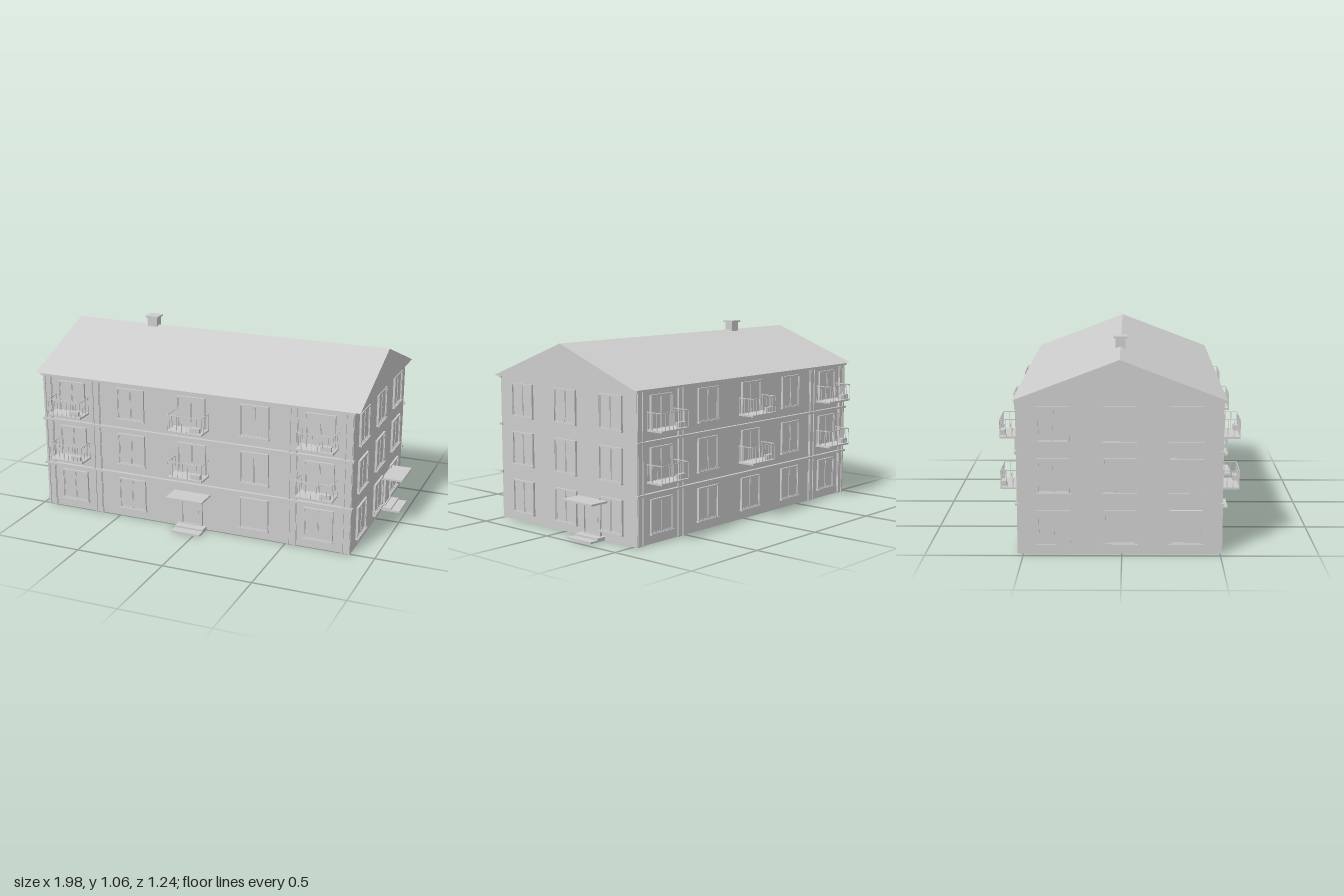
import * as THREE from 'three';

const grey = new THREE.MeshStandardMaterial({ color: 0xcccccc });
grey.name = 'light grey';

// Box given by its min and max along each axis
function box(parent, name, x0, x1, y0, y1, z0, z1) {
  const m = new THREE.Mesh(new THREE.BoxGeometry(x1 - x0, y1 - y0, z1 - z0), grey);
  m.position.set((x0 + x1) / 2, (y0 + y1) / 2, (z0 + z1) / 2);
  m.name = name;
  parent.add(m);
  return m;
}

function part(parent, name, x = 0, y = 0, z = 0) {
  const g = new THREE.Group();
  g.name = name;
  g.position.set(x, y, z);
  parent.add(g);
  return g;
}

// Rectangular frame lying against the wall plane z = 0
function frame(parent, name, x0, x1, y0, y1, t, d) {
  box(parent, name, x0, x0 + t, y0, y1, 0, d);
  box(parent, name, x1 - t, x1, y0, y1, 0, d);
  box(parent, name, x0 + t, x1 - t, y0, y0 + t, 0, d);
  box(parent, name, x0 + t, x1 - t, y1 - t, y1, 0, d);
}

// Two-leaf window with sill
function addWindow(parent, x, y) {
  const g = part(parent, 'window', x, y);
  box(g, 'glass', -0.08, 0.08, 0.005, 0.178, 0, 0.004);
  frame(g, 'windowFrame', -0.083, 0.083, 0, 0.183, 0.008, 0.012);
  frame(g, 'leftSash', -0.075, -0.001, 0.008, 0.175, 0.004, 0.007);
  frame(g, 'rightSash', 0.001, 0.075, 0.008, 0.175, 0.004, 0.007);
  box(g, 'sill', -0.087, 0.087, -0.003, 0.005, 0, 0.018);
}

// Balcony with slab, barred railing and a small box in the corner
function addBalcony(parent, x, y) {
  const g = part(parent, 'balcony', x, y);
  const w = 0.102, d = 0.1, h = 0.09, t = 0.0015;
  box(g, 'balconySlab', -w, w, -0.01, 0, 0, d);
  box(g, 'frontHandrail', -w, w, h - 0.004, h, d - 0.004, d);
  for (const s of [-1, 1]) {
    const e = s * (w - 0.002);
    box(g, 'sideHandrail', e - 0.002, e + 0.002, h - 0.004, h, 0, d - 0.004);
    for (let i = 0; i < 3; i++) {
      const z = 0.005 + i * 0.031;
      box(g, 'sideBar', e - t, e + t, 0, h - 0.004, z - t, z + t);
    }
  }
  for (let i = 0; i <= 7; i++) {
    const bx = -w + t + (i / 7) * 2 * (w - t);
    box(g, 'frontBar', bx - t, bx + t, 0, h - 0.004, d - 2 * t, d);
  }
  box(g, 'balconyBox', 0.03, 0.088, 0.004, 0.03, 0.074, 0.097);
}

// Door with canopy and two steps
function addEntrance(parent, x) {
  const g = part(parent, 'entrance', x);
  box(g, 'doorLeaf', -0.055, 0.055, 0.02, 0.185, 0, 0.005);
  frame(g, 'doorFrame', -0.062, 0.062, 0.02, 0.192, 0.006, 0.012);
  box(g, 'doorHandle', 0.036, 0.042, 0.09, 0.115, 0.005, 0.012);
  box(g, 'canopy', -0.108, 0.108, 0.201, 0.211, 0, 0.118);
  box(g, 'lowerStep', -0.085, 0.085, 0, 0.01, 0, 0.105);
  box(g, 'upperStep', -0.085, 0.085, 0.01, 0.02, 0, 0.055);
}

const levels = [0.05, 0.317, 0.583];

// Long wall: five window columns, three balcony columns, pilasters and bands
function longFacade(parent, name, angle, hasDoor) {
  const pivot = part(parent, name);
  pivot.rotation.y = angle;
  const g = part(pivot, 'facadeDetails', 0, 0, 0.51);
  levels.forEach((y, f) => {
    for (let c = -2; c <= 2; c++) {
      if (hasDoor && f === 0 && c === 0) addEntrance(g, 0);
      else addWindow(g, c * 0.367, y);
      if (f > 0 && c % 2 === 0) addBalcony(g, c * 0.367, y + 0.01);
    }
  });
  for (const x of [-0.888, -0.585, 0.585, 0.888]) {
    box(g, 'pilaster', x - 0.027, x + 0.027, 0, 0.8, 0, 0.005);
    for (const s of [-1, 1]) {
      const r = x + s * 0.018;
      box(g, 'pilasterRib', r - 0.006, r + 0.006, 0, 0.8, 0.005, 0.011);
    }
  }
  for (const y of [0.255, 0.523]) box(g, 'floorBand', -0.923, 0.923, y, y + 0.012, -0.003, 0.018);
  box(g, 'eaveBand', -0.923, 0.923, 0.785, 0.797, -0.003, 0.016);
}

// End wall: three window columns
function endFacade(parent, name, angle, hasDoor) {
  const pivot = part(parent, name);
  pivot.rotation.y = angle;
  const g = part(pivot, 'facadeDetails', 0, 0, 0.915);
  for (const y of levels) for (const c of [-1, 0, 1]) addWindow(g, c * 0.335, y - 0.002);
  if (hasDoor) addEntrance(g, 0.2);
}

export function createModel() {
  const model = new THREE.Group();
  model.name = 'apartmentHouse';
  const house = part(model, 'house', -0.05, 0, -0.01);

  box(house, 'walls', -0.915, 0.915, 0, 0.8, -0.51, 0.51);

  // Gabled roof
  const gable = new THREE.Shape([[-0.533, 0.8], [0.533, 0.8], [0, 1.003]]
    .map(([x, y]) => new THREE.Vector2(x, y)));
  const roofGeo = new THREE.ExtrudeGeometry(gable, { depth: 1.9, bevelEnabled: false });
  roofGeo.translate(0, 0, -0.95);
  roofGeo.rotateY(Math.PI / 2);
  const roof = new THREE.Mesh(roofGeo, grey);
  roof.name = 'roof';
  house.add(roof);

  // Chimney
  const chimney = part(house, 'chimney', -0.462, 0, 0);
  box(chimney, 'chimneyStack', -0.03, 0.03, 0.96, 1.047, -0.026, 0.026);
  box(chimney, 'chimneyCap', -0.04, 0.04, 1.047, 1.056, -0.036, 0.036);

  longFacade(house, 'frontFacade', 0, true);
  longFacade(house, 'backFacade', Math.PI, false);
  endFacade(house, 'leftFacade', Math.PI / 2, true);
  endFacade(house, 'rightFacade', -Math.PI / 2, false);
  return model;
}
